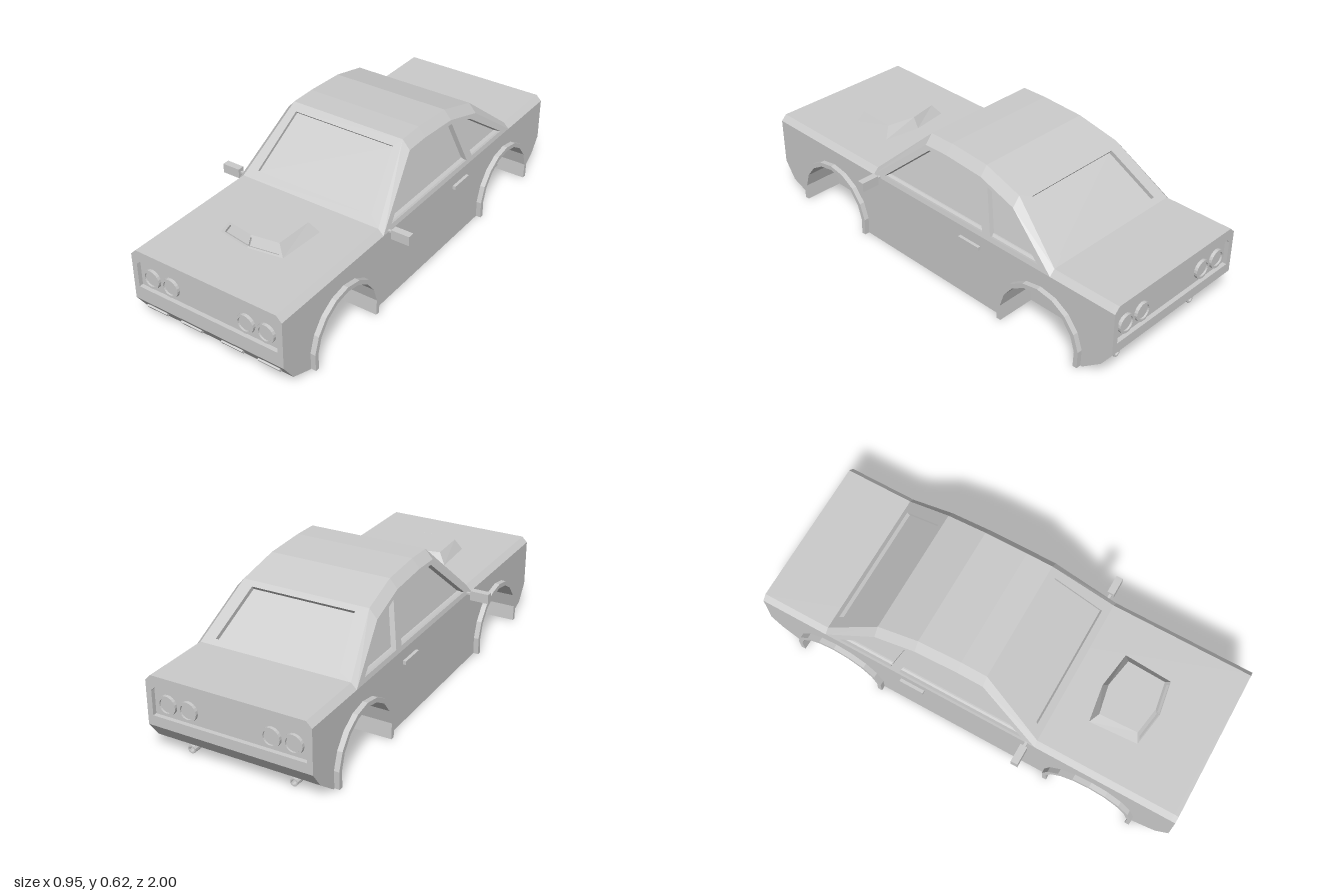
import * as THREE from 'three';

const mat = new THREE.MeshStandardMaterial({ color: 0xcccccc, flatShading: true });
const shellMat = new THREE.MeshStandardMaterial({ color: 0xcccccc, flatShading: true, side: THREE.DoubleSide });
const V = (x, y, z) => new THREE.Vector3(x, y, z);
const P = (x, y) => new THREE.Vector2(x, y);

export function createModel() {
  const car = new THREE.Group();
  car.name = 'car';

  const add = (name, geo, x = 0, y = 0, z = 0, m = mat) => {
    const mesh = new THREE.Mesh(geo, m);
    mesh.name = name;
    mesh.position.set(x, y, z);
    car.add(mesh);
    return mesh;
  };

  // Mirrors a loop of points across x, keeping its outward winding
  const mir = (pts, s) => (s > 0 ? pts : pts.map(p => V(-p.x, p.y, p.z)).reverse());

  // Surface from four-cornered faces
  const quads = list => {
    const pos = [];
    for (const [a, b, c, d] of list) for (const p of [a, b, c, a, c, d]) pos.push(p.x, p.y, p.z);
    const g = new THREE.BufferGeometry();
    g.setAttribute('position', new THREE.Float32BufferAttribute(pos, 3));
    g.computeVertexNormals();
    return g;
  };

  // Flat panel in space with recessed openings, each closed by a pane
  const panel = (name, outer, holes, depth) => {
    const o = outer[0];
    const u = outer[1].clone().sub(o).normalize();
    const n = u.clone().cross(outer[2].clone().sub(o)).normalize();
    const v = n.clone().cross(u);
    const flat = pts => pts.map(p => { const d = p.clone().sub(o); return P(d.dot(u), d.dot(v)); });
    const place = new THREE.Matrix4().makeBasis(u, v, n).setPosition(o);
    const shape = new THREE.Shape(flat(outer));
    holes.forEach(h => shape.holes.push(new THREE.Path(flat(h))));
    const frame = new THREE.ExtrudeGeometry(shape, { depth, bevelEnabled: false });
    add(name + 'Frame', frame.translate(0, 0, -depth).applyMatrix4(place), 0, 0, 0, shellMat);
    holes.forEach(h => {
      const pane = new THREE.ShapeGeometry(new THREE.Shape(flat(h)));
      add(name + 'Pane', pane.translate(0, 0, 0.001 - depth).applyMatrix4(place), 0, 0, 0, shellMat);
    });
  };

  // Extrudes a (z, y) outline across x
  const acrossX = (shape, xMax, width) =>
    new THREE.ExtrudeGeometry(shape, { depth: width, bevelEnabled: false })
      .rotateY(-Math.PI / 2).translate(xMax, 0, 0);

  // Wheel arch curve running from rear to front
  const arch = (c, r) => {
    const a0 = Math.asin(0.045 / r), pts = [];
    for (let i = 0; i <= 10; i++) {
      const a = Math.PI + a0 - (i / 10) * (Math.PI + 2 * a0);
      pts.push(P(c + r * Math.cos(a), 0.045 + r * Math.sin(a)));
    }
    return pts;
  };
  const wheels = [-0.636, 0.62];

  // Lower body: middle block plus outer blocks with wheel wells
  const ends = [P(0.84, 0), P(0.945, 0.04), P(1, 0.12), P(0.98, 0.12), P(0.98, 0.335),
    P(-0.98, 0.335), P(-0.98, 0.14), P(-1, 0.14), P(-0.95, 0.07), P(-0.86, 0)];
  add('bodyCore', acrossX(new THREE.Shape(ends), 0.21, 0.42));
  const sideOutline = new THREE.Shape([...ends, ...wheels.flatMap(c => arch(c, 0.2))]);
  for (const s of [1, -1]) add('bodySide', acrossX(sideOutline, s > 0 ? 0.37 : -0.21, 0.16));

  // Hood and trunk deck with chamfered edges
  const deck = new THREE.Shape([P(-0.37, 0.335), P(0.37, 0.335), P(0.345, 0.36), P(-0.345, 0.36)]);
  add('deck', new THREE.ExtrudeGeometry(deck, { depth: 1.96, bevelEnabled: false }), 0, 0, -0.98);

  // Recessed nose and tail panels with paired round lamps
  const lampProfile = [P(0, 0.006), P(0.032, 0.006), P(0.032, 0.014), P(0.042, 0.014), P(0.042, 0)];
  const lamp = new THREE.LatheGeometry(lampProfile, 20).rotateX(Math.PI / 2);
  for (const [name, e, low] of [['nose', 1, 0.12], ['tail', -1, 0.14]]) {
    const loop = pts => pts.map(([x, y]) => V(x * e, y, e));
    panel(name,
      loop([[-0.37, low], [0.37, low], [0.37, 0.335], [0.345, 0.36], [-0.345, 0.36], [-0.37, 0.335]]),
      [loop([[-0.345, 0.185], [0.345, 0.185], [0.345, 0.295], [0.33, 0.31], [-0.33, 0.31], [-0.345, 0.295]])],
      0.02);
    for (const x of [-0.283, -0.186, 0.186, 0.283]) {
      add(name + 'Lamp', lamp, x, 0.24, e * 0.981, shellMat).rotation.y = e > 0 ? 0 : Math.PI;
    }
  }

  // Small marker lights on the sloping bumper
  for (const x of [-0.2825, -0.1025, 0.1025, 0.2825]) {
    add('bumperLight', new THREE.BoxGeometry(0.105, 0.018, 0.016), x, 0.08, 0.9725).rotation.x = 0.6;
  }

  // Cabin stations from windshield base to rear window base
  const stations = [[0.345, 0.36], [0.07, 0.615], [-0.05, 0.617], [-0.25, 0.605], [-0.44, 0.555], [-0.68, 0.36]];
  const wallX = y => 0.37 - 0.25 * (y - 0.335);
  const shoulder = stations.map(([z, y], i) => {
    const sy = y - (i % 5 ? 0.04 : 0.025);
    return V(wallX(sy), sy, z);
  });
  const top = stations.map(([z, y], i) => V(shoulder[i].x - (i % 5 ? 0.035 : 0.025), y, z));
  const flip = p => V(-p.x, p.y, p.z);

  // Roof and its chamfered edges
  const roof = [];
  for (let i = 0; i < 5; i++) {
    if (i > 0 && i < 4) roof.push([flip(top[i]), top[i], top[i + 1], flip(top[i + 1])]);
    for (const s of [1, -1]) roof.push(mir([shoulder[i], shoulder[i + 1], top[i + 1], top[i]], s));
  }
  add('roof', quads(roof), 0, 0, 0, shellMat);

  // Windshield and rear window, set into the sloping ends
  const slope = (a, b, y) => a.z + (b.z - a.z) * (y - a.y) / (b.y - a.y);
  const glass = (a, b, rows) => {
    const [l, h] = rows.map(([x, y]) => V(x, y, slope(a, b, y)));
    return [flip(l), l, h, flip(h)];
  };
  panel('windshield', [flip(top[0]), top[0], top[1], flip(top[1])],
    [glass(top[0], top[1], [[0.288, 0.388], [0.245, 0.588]])], 0.014);
  panel('rearWindow', [top[5], flip(top[5]), flip(top[4]), top[4]],
    [glass(top[5], top[4], [[0.285, 0.378], [0.238, 0.538]])], 0.02);

  // Door and quarter windows
  const onWall = pts => pts.map(([z, y]) => V(wallX(y), y, z));
  const doorWindow = onWall([[0.28, 0.355], [-0.31, 0.355], [-0.25, 0.548], [0.045, 0.56]]);
  const quarterWindow = onWall([[-0.355, 0.355], [-0.61, 0.355], [-0.39, 0.51], [-0.295, 0.54]]);
  const wall = [shoulder[0], ...shoulder.slice(1).reverse()];

  // Hood scoop corners for one half
  const base = [V(0, 0.36, 0.74), V(0.155, 0.36, 0.715), V(0.168, 0.36, 0.495), V(0, 0.36, 0.47)];
  const lid = [V(0, 0.408, 0.715), V(0.125, 0.408, 0.695), V(0.132, 0.408, 0.52), V(0, 0.408, 0.495)];
  const onFront = (u, v) => base[0].clone().lerp(base[1], u).lerp(lid[0].clone().lerp(lid[1], u), v);
  const intake = [onFront(0.01, 0.15), onFront(0.9, 0.15), onFront(0.9, 0.82), onFront(0.01, 0.82)];

  for (const s of [1, -1]) {
    panel('sideWindow', mir(wall, s), [mir(doorWindow, s), mir(quarterWindow, s)], 0.025);

    panel('scoopIntake', mir([base[0], base[1], lid[1], lid[0]], s), [mir(intake, s)], 0.012);
    add('scoop', quads([
      mir([base[1], base[2], lid[2], lid[1]], s),
      mir([base[2], base[3], lid[3], lid[2]], s),
      mir([lid[0], lid[1], lid[2], lid[3]], s),
    ]), 0, 0, 0, shellMat);

    // Wheel arch flares
    for (const c of wheels) {
      const ring = new THREE.Shape([...arch(c, 0.22), ...arch(c, 0.2).reverse()]);
      add('archFlare', acrossX(ring, s > 0 ? 0.393 : -0.36, 0.033));
    }

    // Door handle, mirror on its arm, exhaust pipe
    add('doorHandle', new THREE.BoxGeometry(0.022, 0.016, 0.115), s * 0.373, 0.278, -0.248);
    add('mirror', new THREE.BoxGeometry(0.085, 0.043, 0.032), s * 0.433, 0.338, 0.307);
    add('mirrorArm', new THREE.BoxGeometry(0.05, 0.008, 0.012), s * 0.375, 0.34, 0.307);
    const pipe = [P(0.012, -0.05), P(0.018, -0.05), P(0.018, 0.06), P(0.012, 0.06), P(0.012, 0.03), P(0, 0.03)];
    add('exhaustPipe', new THREE.LatheGeometry(pipe, 10).rotateX(-Math.PI / 2), s * 0.235, 0.022, -0.86, shellMat);
  }
  return car;
}
